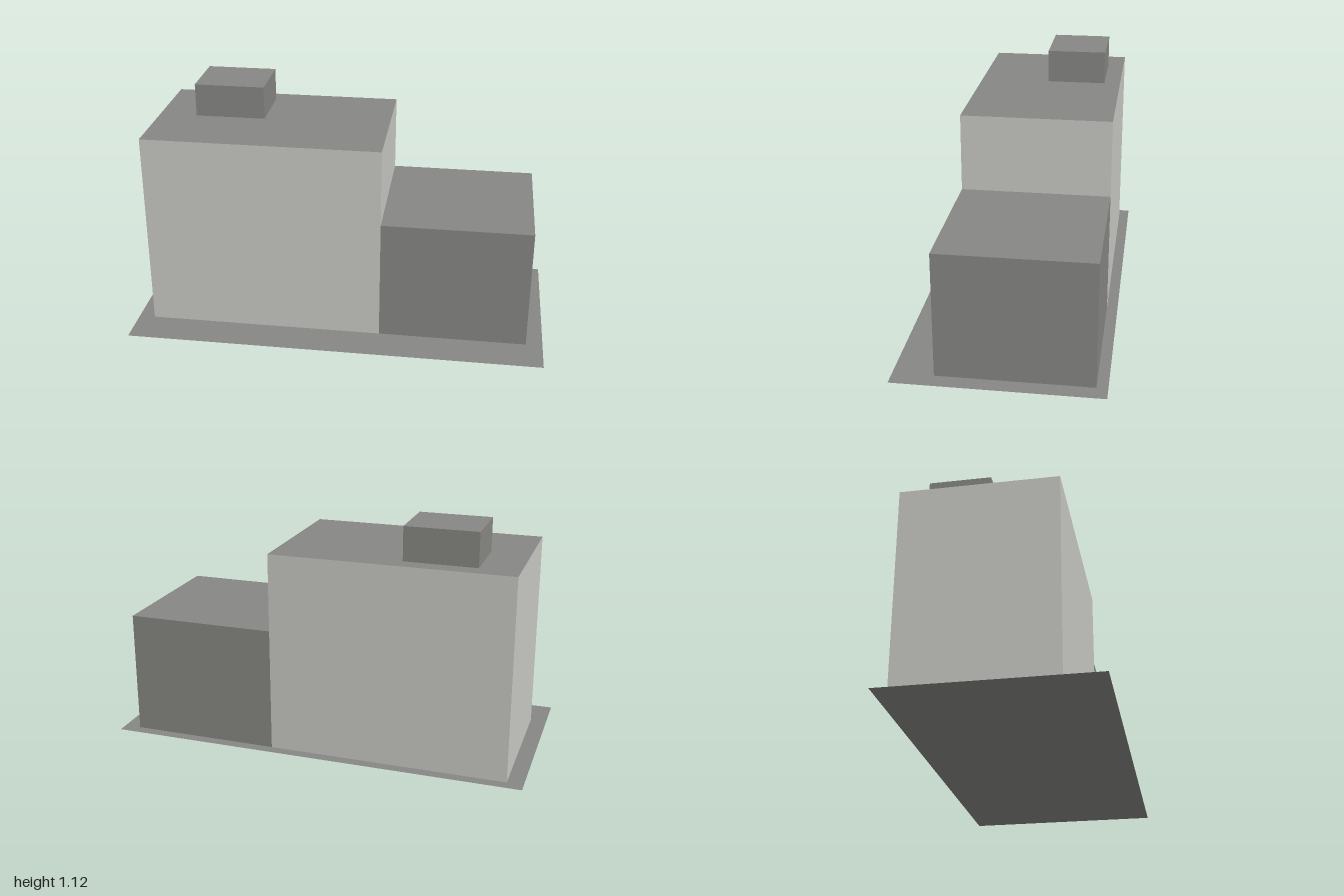
import * as THREE from 'three';

export function createModel() {
  const group = new THREE.Group();
  const paleWall = new THREE.MeshStandardMaterial({ name: 'paleWall', color: 0xc9c9c4 });
  const darkGrey = new THREE.MeshStandardMaterial({ name: 'darkGrey', color: 0x878884, side: THREE.DoubleSide });

  // Box given by its limits on each axis; roof and floor are always dark grey
  function block(name, [x0, x1], [y0, y1], [z0, z1], wall) {
    const geometry = new THREE.BoxGeometry(x1 - x0, y1 - y0, z1 - z0);
    const mesh = new THREE.Mesh(geometry, [wall, wall, darkGrey, darkGrey, wall, wall]);
    mesh.name = name;
    mesh.position.set((x0 + x1) / 2, (y0 + y1) / 2, (z0 + z1) / 2);
    group.add(mesh);
  }

  // Flat ground slab
  const plot = new THREE.Mesh(new THREE.PlaneGeometry(2, 0.947), darkGrey);
  plot.name = 'groundPlate';
  plot.rotation.x = -Math.PI / 2;
  group.add(plot);

  // Tall main building, lower wing and rooftop box
  const depth = [-0.422, 0.287];
  block('mainBuilding', [-0.923, 0.21], [0, 0.96], depth, paleWall);
  block('lowWing', [0.21, 0.92], [0, 0.59], depth, darkGrey);
  block('roofBox', [-0.74, -0.4], [0.96, 1.12], [-0.342, -0.055], darkGrey);

  return group;
}
